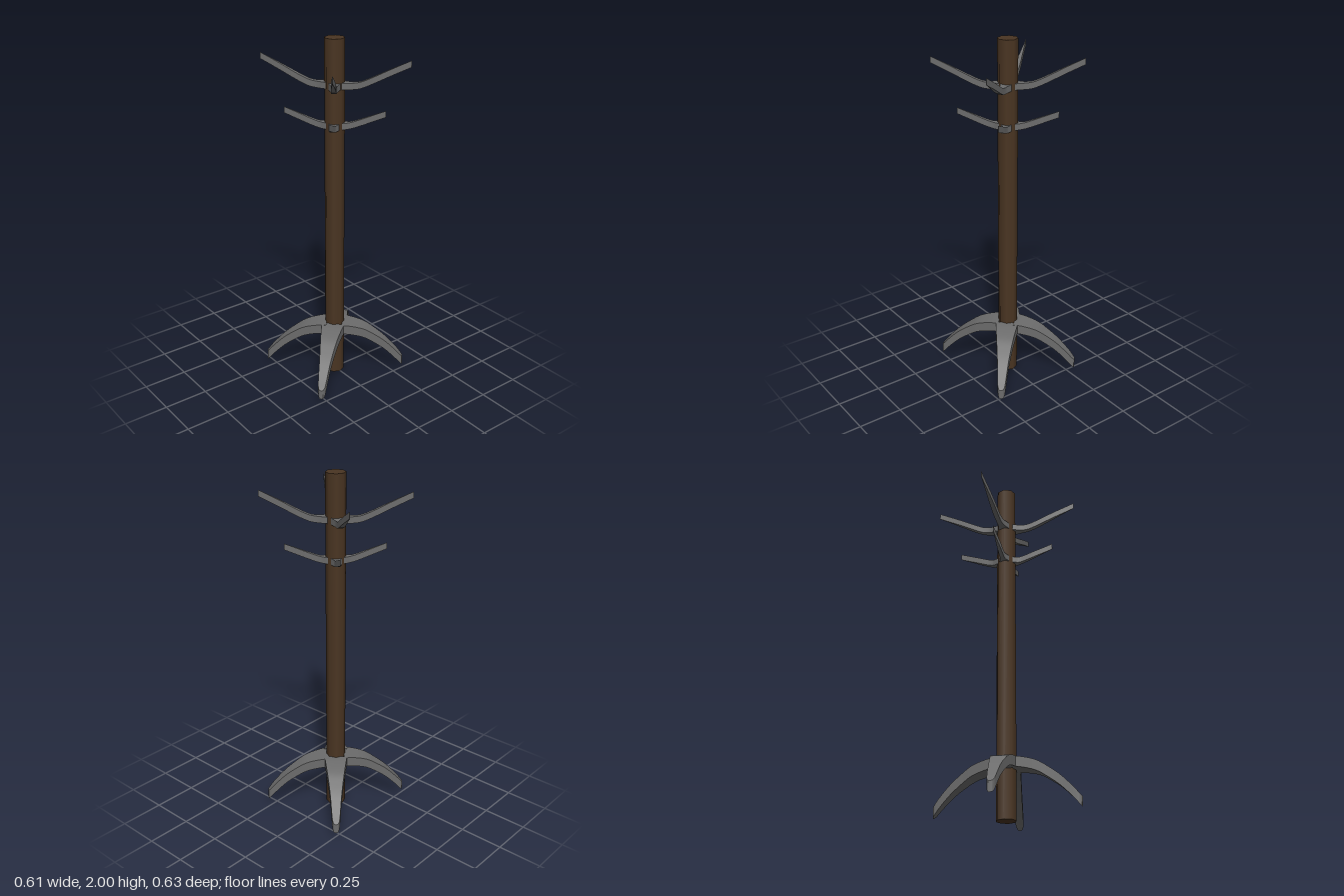
import * as THREE from 'three';
import { toCreasedNormals } from 'three/addons/utils/BufferGeometryUtils.js';

// Curved blade running along +x. Each station is [distance, halfWidth, topHeight].
function bladeGeometry(stations, depth, steps = 24) {
  const curve = new THREE.CatmullRomCurve3(stations.map((p) => new THREE.Vector3(...p)), false, 'centripetal');
  const rings = curve.getPoints(steps).map(({ x, y: w, z: top }) => {
    w = Math.max(w, 0.0008);
    return [[x, top, w], [x, top, -w], [x, top - depth, -w], [x, top - depth, w]];
  });
  const pos = [];
  const quad = (a, b, c, d) => pos.push(...a, ...b, ...c, ...a, ...c, ...d);
  for (let i = 0; i < steps; i++) {
    for (let k = 0; k < 4; k++) {
      const n = (k + 1) % 4;
      quad(rings[i][k], rings[i + 1][k], rings[i + 1][n], rings[i][n]);
    }
  }
  const [a, b, c, d] = rings[0];
  quad(a, b, c, d);
  const [e, f, g, h] = rings[steps];
  quad(h, g, f, e);
  const geometry = new THREE.BufferGeometry();
  geometry.setAttribute('position', new THREE.Float32BufferAttribute(pos, 3));
  return toCreasedNormals(geometry, 0.6);
}

export function createModel() {
  const model = new THREE.Group();
  model.name = 'coatStand';
  const wood = new THREE.MeshStandardMaterial({ color: 0x4a3522 });
  wood.name = 'dark wood';
  const metal = new THREE.MeshStandardMaterial({ color: 0x6c6c6c });
  metal.name = 'grey metal';

  // Eight-sided pole
  const pole = new THREE.Mesh(new THREE.CylinderGeometry(0.055, 0.055, 2, 8), wood);
  pole.name = 'pole';
  pole.position.y = 1;
  model.add(pole);

  // Four blades mirrored around the pole, pointing at (+-x, +-z)
  function addFour(name, geometry, angle) {
    const group = new THREE.Group();
    group.name = name + 's';
    [angle, Math.PI - angle, Math.PI + angle, -angle].forEach((turn) => {
      const mesh = new THREE.Mesh(geometry, metal);
      mesh.name = name;
      mesh.rotation.y = turn;
      group.add(mesh);
    });
    model.add(group);
  }

  // Broad arched legs with rounded tips
  addFour('leg', bladeGeometry([
    [0.045, 0.066, 0.325], [0.085, 0.061, 0.322], [0.175, 0.049, 0.298], [0.24, 0.039, 0.258],
    [0.3, 0.031, 0.212], [0.37, 0.023, 0.14], [0.392, 0.018, 0.113], [0.402, 0.01, 0.102], [0.404, 0, 0.1],
  ], 0.056, 36), 0.728);

  // Long upper hooks, flared at the pole and pointed at the tip
  addFour('upperHook', bladeGeometry([
    [0.04, 0.032, 1.766], [0.06, 0.026, 1.766], [0.09, 0.017, 1.766], [0.13, 0.014, 1.771],
    [0.17, 0.014, 1.786], [0.22, 0.013, 1.81], [0.3, 0.008, 1.85], [0.405, 0, 1.9],
  ], 0.035), 0.89);

  // Short lower hooks
  addFour('lowerHook', bladeGeometry([
    [0.04, 0.03, 1.545], [0.055, 0.024, 1.545], [0.075, 0.015, 1.546], [0.1, 0.012, 1.552],
    [0.15, 0.01, 1.57], [0.2, 0.006, 1.589], [0.274, 0, 1.617],
  ], 0.035), 0.81);

  return model;
}
